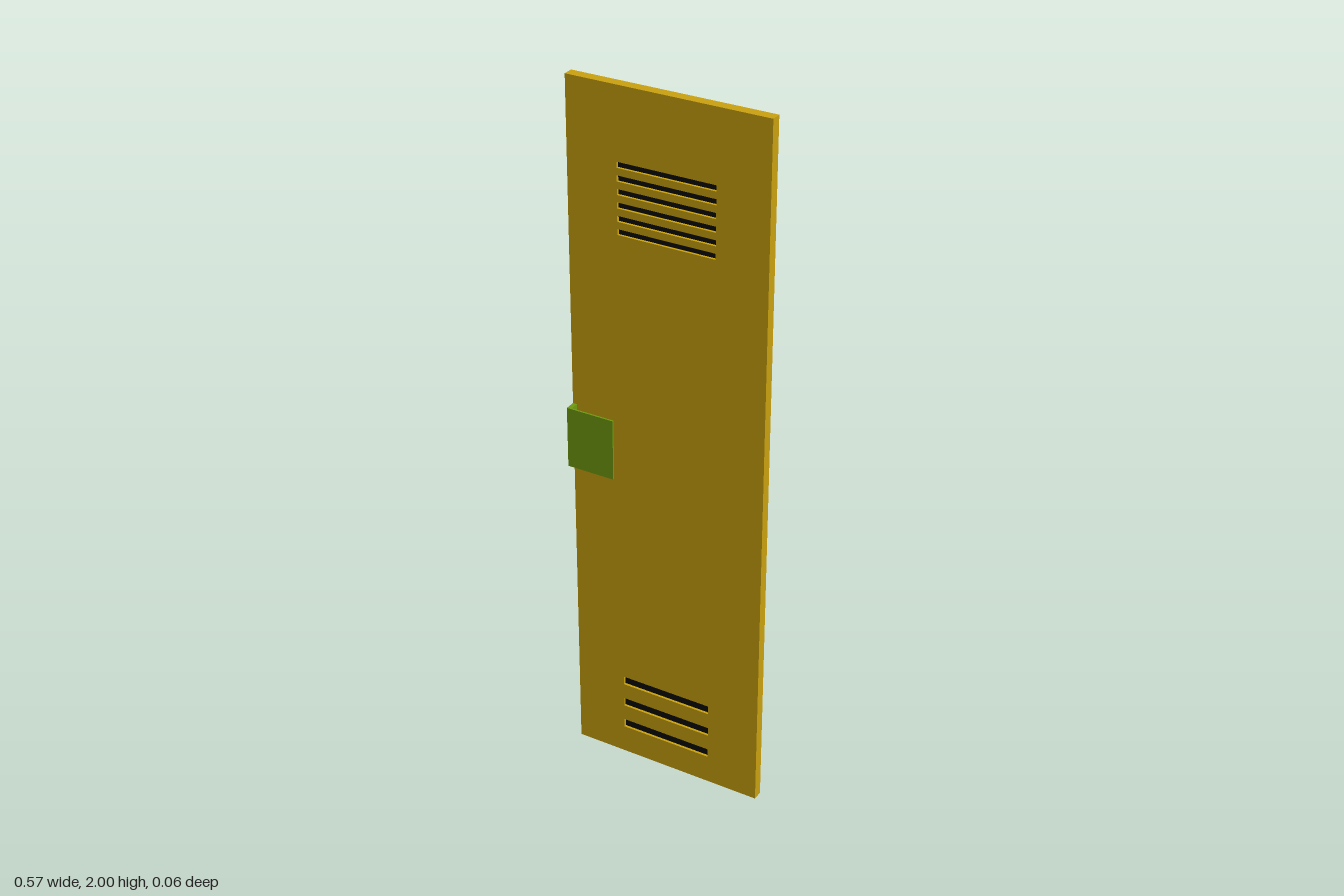
import * as THREE from 'three';

const W = 0.566, H = 2, BACK = -0.0295, FRONT = -0.0005, RECESS = 0.008;

const paint = (color) => new THREE.MeshStandardMaterial({ color });

// Closed rectangle as a list of points, for shapes and holes
const rect = (x0, y0, x1, y1) =>
  [[x0, y0], [x1, y0], [x1, y1], [x0, y1]].map(([x, y]) => new THREE.Vector2(x, y));

// Vent slots: six fine ones at the top, three wider ones at the bottom
function ventSlots() {
  const slots = [];
  for (let i = 0; i < 6; i++) slots.push({ x0: -0.14, x1: 0.137, y: 1.616 + i * 0.0357, h: 0.016 });
  for (let i = 0; i < 3; i++) slots.push({ x0: -0.137, x1: 0.132, y: 0.098 + i * 0.074, h: 0.026 });
  return slots;
}

export function createModel() {
  const model = new THREE.Group();
  const yellow = paint(0xc8a00f), green = paint(0x6f9a10), black = paint(0x080808);
  const add = (name, geometry, material, parent = model) => {
    const mesh = new THREE.Mesh(geometry, material);
    mesh.name = name;
    parent.add(mesh);
    return mesh;
  };
  const slots = ventSlots();
  const floorZ = FRONT - RECESS;

  // Solid rear layer of the door
  const depth = floorZ - BACK;
  add('doorBack', new THREE.BoxGeometry(W, H, depth), yellow)
    .position.set(0, H / 2, BACK + depth / 2);

  // Front layer, pierced by the vent slots
  const face = new THREE.Shape(rect(-W / 2, 0, W / 2, H));
  for (const s of slots) {
    face.holes.push(new THREE.Path(rect(s.x0, s.y - s.h / 2, s.x1, s.y + s.h / 2)));
  }
  add('doorFront', new THREE.ExtrudeGeometry(face, { depth: RECESS, bevelEnabled: false }), yellow)
    .position.z = floorZ;

  // Dark floors of the recessed slots
  const vents = new THREE.Group();
  vents.name = 'vents';
  model.add(vents);
  for (const s of slots) {
    add('ventSlot', new THREE.PlaneGeometry(s.x1 - s.x0, s.h), black, vents)
      .position.set((s.x0 + s.x1) / 2, s.y, floorZ + 0.0008);
  }

  // L-shaped pull handle: section in x and -z, extruded upwards
  const left = -W / 2, plateBack = 0.0245, plateFront = 0.0295;
  const section = new THREE.Shape([
    [left, -plateFront], [-0.144, -plateFront], [-0.144, -plateBack],
    [-0.271, -plateBack], [-0.271, -FRONT], [left, -FRONT],
  ].map(([x, y]) => new THREE.Vector2(x, y)));
  const handle = add('handle', new THREE.ExtrudeGeometry(section, { depth: 0.176, bevelEnabled: false }), green);
  handle.rotation.x = -Math.PI / 2;
  handle.position.y = 0.916;

  return model;
}
